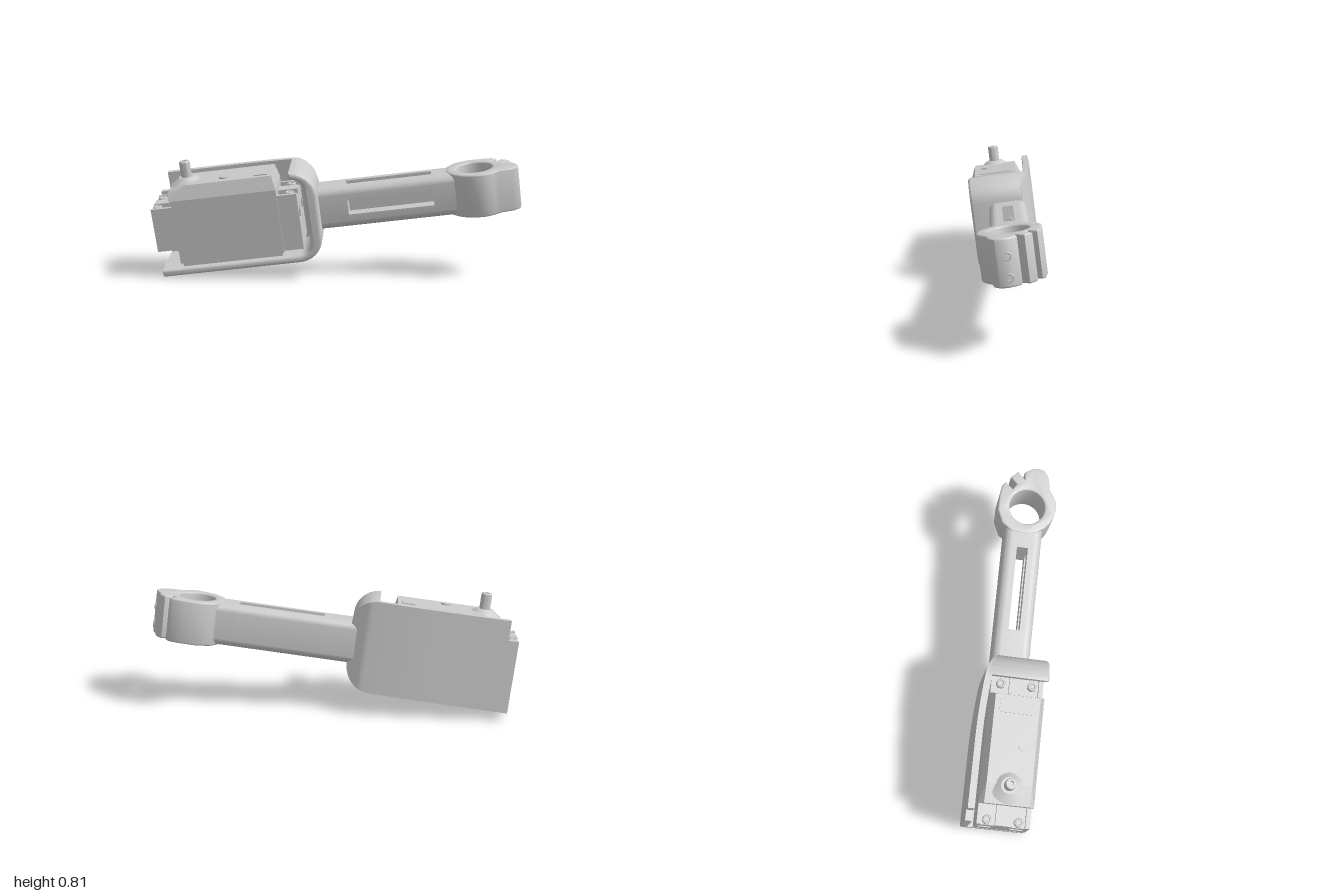
import * as THREE from 'three';
import { toCreasedNormals } from 'three/addons/utils/BufferGeometryUtils.js';

const grey = new THREE.MeshStandardMaterial({ color: 0xcccccc, side: THREE.DoubleSide });

// Local frame: x along the arm, y up, z across towards the open side of the holder.
export function createModel() {
  const root = new THREE.Group();
  root.name = 'clampArmWithMotor';
  const body = new THREE.Group();
  body.name = 'assembly';
  body.rotation.y = Math.PI / 4;
  root.rotation.x = THREE.MathUtils.degToRad(10);
  root.add(body);

  const add = (name, geo, x = 0, y = 0, z = 0) => {
    const mesh = new THREE.Mesh(geo, grey);
    mesh.name = name;
    mesh.position.set(x, y, z);
    body.add(mesh);
    return mesh;
  };
  const box = (name, x0, x1, y0, y1, z0, z1) =>
    add(name, new THREE.BoxGeometry(x1 - x0, y1 - y0, z1 - z0), (x0 + x1) / 2, (y0 + y1) / 2, (z0 + z1) / 2);
  const poly = (pts) => new THREE.Shape(pts.map((p) => new THREE.Vector2(p[0], p[1])));
  // Extrude with an optional rounded edge that stays inside the outline
  const extrude = (shape, depth, bevel = 0) => {
    const g = new THREE.ExtrudeGeometry(shape, {
      depth: depth - 2 * bevel, curveSegments: 16, bevelEnabled: bevel > 0,
      bevelSize: bevel, bevelOffset: -bevel, bevelThickness: bevel, bevelSegments: 3,
    });
    return g.translate(0, 0, bevel);
  };
  const smooth = (g) => toCreasedNormals(g, 0.6);
  const alongX = (g) => g.rotateY(Math.PI / 2); // shape x becomes -z
  const alongY = (g) => g.rotateX(-Math.PI / 2); // shape y becomes -z
  const moveVertices = (g, rule) => {
    const p = g.attributes.position;
    const v = new THREE.Vector3();
    for (let i = 0; i < p.count; i++) {
      rule(v.fromBufferAttribute(p, i));
      p.setXYZ(i, v.x, v.y, v.z);
    }
    g.computeVertexNormals();
    return g;
  };

  // Holder: the back wall curves gently inwards towards the arm
  const Y0 = 0.157, Y1 = 0.795, END = 0.01, ROUND = 0.17;
  const lean = (x) => 0.12 * Math.max(0, x + 0.6) ** 2 + 0.4 * Math.max(0, x + 0.1);
  const plate = new THREE.BoxGeometry(END + 1.05, Y1 - Y0, 0.045, 60, 1, 1);
  plate.translate((END - 1.05) / 2, (Y0 + Y1) / 2, -0.2675);
  add('holderBackPlate', smooth(moveVertices(plate, (v) => {
    const t = Math.max(0, v.x - END + ROUND);
    const inset = ROUND - Math.sqrt(Math.max(0, ROUND * ROUND - t * t));
    v.y += v.y < 0.4 ? inset : -inset;
    v.z += lean(v.x);
  })));
  box('holderBackPlateStep', -1.12, -1.05, Y0, 0.66, -0.29, -0.245);

  const floorXs = [-1.12, -0.6, -0.45, -0.3];
  const rim = poly(floorXs.map((x) => [x, Y0]));
  rim.absarc(END - ROUND, Y0 + ROUND, ROUND, -Math.PI / 2, 0);
  rim.absarc(END - ROUND, Y1 - ROUND, ROUND, 0, Math.PI / 2);
  rim.absarc(END - ROUND, 0.66, 0.09, Math.PI / 2, 0, true);
  rim.absarc(END - ROUND, 0.295, 0.09, 0, -Math.PI / 2, true);
  floorXs.reverse().forEach((x) => rim.lineTo(x, 0.205));
  add('holderFloorAndEndWall', smooth(moveVertices(extrude(rim, 0.445, 0.018).translate(0, 0, -0.285),
    (v) => { if (v.z < 0) v.z += lean(v.x); })));

  // Arm: cross-sections with separately rounded corners (order: bl, br, tr, tl)
  const section = (x0, x1, y0, y1, r) => {
    const s = new THREE.Shape();
    const corner = (x, y, rad, a) => {
      const cx = x + (x === x0 ? rad : -rad);
      const cy = y + (y === y0 ? rad : -rad);
      if (rad) s.absarc(cx, cy, rad, a, a + Math.PI / 2);
      else s.lineTo(x, y);
    };
    s.moveTo(x0, y0 + r[0]);
    corner(x0, y0, r[0], Math.PI);
    corner(x1, y0, r[1], -Math.PI / 2);
    corner(x1, y1, r[2], 0);
    corner(x0, y1, r[3], Math.PI / 2);
    return s;
  };
  const AXIS = -0.094; // z of the arm centre line
  const armPiece = (name, shape, x0, x1) =>
    add(name, smooth(alongX(extrude(shape, x1 - x0))), x0, 0.475, AXIS);
  const R = 0.055, W = 0.13, H = 0.145, SLOT = 0.038;
  const full = section(-W, W, -H, H, [R, R, R, R]);
  armPiece('armRoot', full, -0.04, 0.205);
  armPiece('armTip', full, 0.795, 0.945);
  armPiece('armBackRail', section(SLOT, W, -H, H, [0, R, R, 0]), 0.205, 0.795);
  armPiece('armUpperRail', section(-W, -SLOT, 0.05, H, [0, 0, 0, R]), 0.205, 0.795);
  armPiece('armLowerRail', section(-W, -SLOT, -H, -0.05, [R, 0, 0, 0]), 0.205, 0.795);

  // Clamp ring with split ears at the far end; points are [x, z] about the bore
  const outline = [[-0.185, -0.09], [-0.138, -0.161], [-0.045, -0.202], [0.06, -0.201], [0.135, -0.189],
    [0.165, -0.165], [0.12, -0.113], [0.158, -0.089], [0.202, -0.135], [0.251, -0.086],
    [0.199, -0.034], [0.251, -0.041], [0.285, 0.01], [0.295, 0.05], [0.285, 0.095], [0.24, 0.13],
    [0.15, 0.146], [0.115, 0.17], [0.075, 0.195], [0.02, 0.205], [-0.04, 0.194], [-0.095, 0.17],
    [-0.135, 0.139], [-0.18, 0.08], [-0.195, 0]];
  const ring = poly(outline.map(([x, z]) => [x, -z]).reverse());
  ring.holes.push(new THREE.Path().absarc(0, 0, 0.124, 0, Math.PI * 2));
  add('clampRing', smooth(alongY(extrude(ring, 0.302, 0.012))), 1.092, 0.324, AXIS + 0.004);

  // Screw rims on the clamp ear and inside the arm slot
  for (const y of [0.385, 0.515]) {
    const rimGeo = alongX(new THREE.TorusGeometry(0.022, 0.006, 8, 20));
    add('clampScrewRim', rimGeo, 1.38, y, -0.06);
    add('armScrewRim', rimGeo, 0.207, y, AXIS);
  }

  // Motor body
  const mid = -0.036;
  box('motorBase', -0.97, -0.275, 0.215, 0.3, -0.205, 0.138);
  box('motorCase', -0.985, -0.26, 0.24, 0.69, -0.22, 0.15);
  const cover = extrude(poly([[-1.0, 0.69], [-0.26, 0.69], [-0.28, 0.785], [-0.87, 0.785], [-1.0, 0.74]]), 0.37);
  cover.translate(0, 0, -0.22);
  add('motorCover', moveVertices(cover, (v) => {
    if (v.y > 0.72) v.z -= Math.sign(v.z - mid) * 0.035;
  }));
  box('coverPanel', -0.4, -0.31, 0.78, 0.792, -0.15, 0.08);
  add('coverButton', new THREE.CylinderGeometry(0.033, 0.033, 0.015, 24), -0.613, 0.788, 0.033);
  add('shaftBoss', new THREE.CylinderGeometry(0.055, 0.118, 0.045, 32), -0.879, 0.785, mid);

  // Output shaft: hollow-ended spindle
  const profile = [[0, 0.875], [0.018, 0.875], [0.018, 0.917], [0.032, 0.917], [0.037, 0.91], [0.037, 0.78]];
  add('outputShaft', smooth(new THREE.LatheGeometry(profile.map((p) => new THREE.Vector2(...p)).reverse(), 28)),
    -0.879, 0, mid);

  // Mounting posts with square pockets, topped by slotted ears and screws
  for (const [x0, x1, sx, y0] of [[-1.13, -0.985, -1.095, 0.34], [-0.26, -0.125, -0.178, 0.25]]) {
    const post = poly([[-0.141, y0], [0.213, y0], [0.213, 0.61], [-0.141, 0.61]]);
    for (const z of [-0.146, 0.066]) {
      post.holes.push(new THREE.Path([[-0.045, 0.45], [-0.045, 0.52], [0.045, 0.52], [0.045, 0.45]]
        .map(([x, y]) => new THREE.Vector2(x - z, y))));
      add('mountScrew', new THREE.CylinderGeometry(0.032, 0.032, 0.03, 20), sx, 0.625, z);
      add('mountScrewRim', alongY(new THREE.TorusGeometry(0.022, 0.008, 8, 20)), sx, 0.64, z);
    }
    add('mountPost', alongX(extrude(post, x1 - x0)), x0);
    box('earCentre', x0, x1, 0.61, 0.645, -0.09, 0.01);
    box('earFront', x0, x1, 0.61, 0.645, 0.11, 0.141);
    box('earBack', x0, x1, 0.61, 0.645, -0.213, -0.19);
  }
  return root;
}
